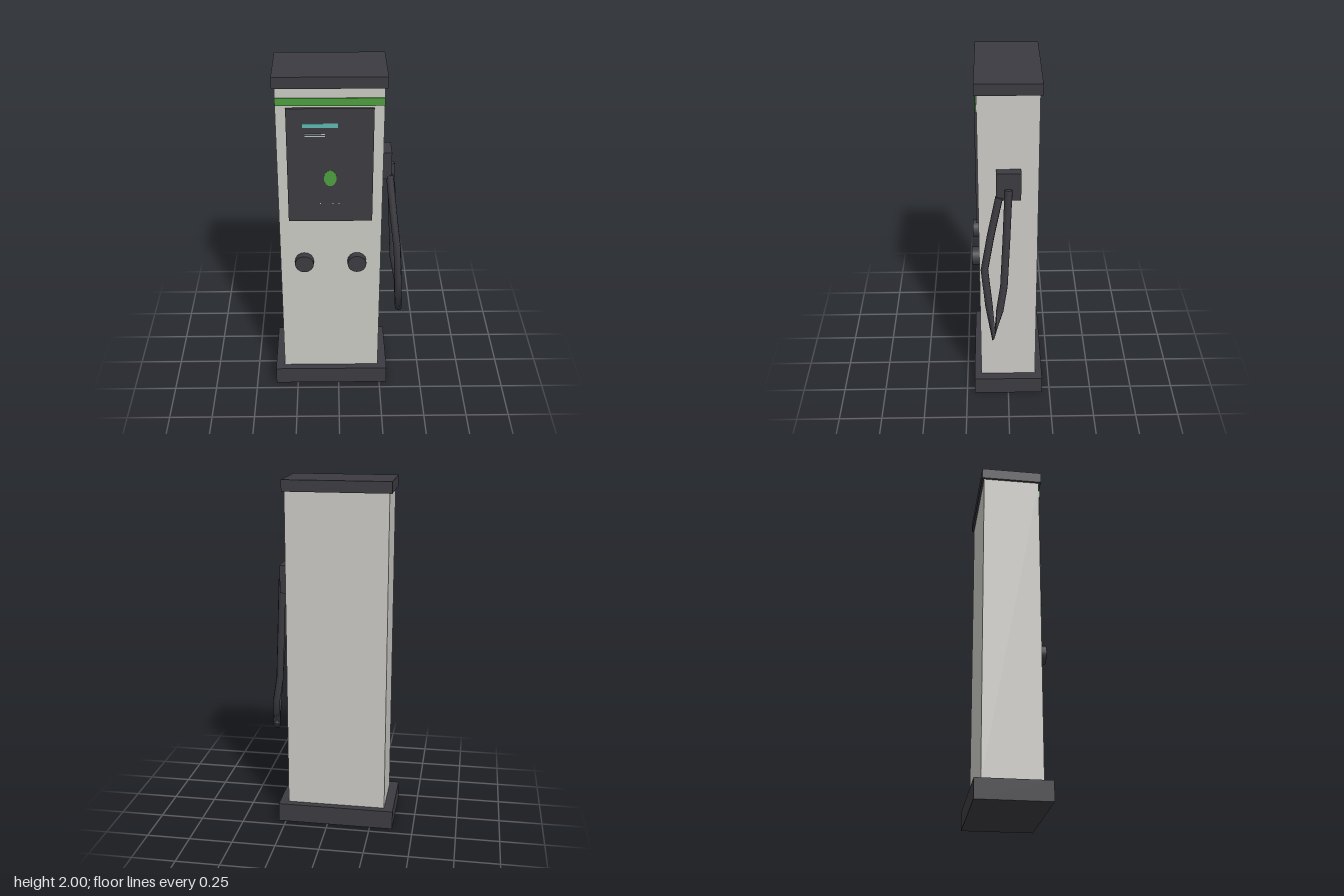
import * as THREE from 'three';

const mat = (name, color) => {
  const m = new THREE.MeshStandardMaterial({ color });
  m.name = name;
  return m;
};

// Curve whose samples fall exactly on the given points
class KinkedPath extends THREE.Curve {
  constructor(points) {
    super();
    this.points = points;
  }
  getPoint(t, target = new THREE.Vector3()) {
    const n = this.points.length - 1;
    const i = Math.min(Math.floor(t * n + 1e-9), n - 1);
    return target.lerpVectors(this.points[i], this.points[i + 1], t * n - i);
  }
  getPointAt(u, target) { return this.getPoint(u, target); }
  getTangentAt(u, target) { return this.getTangent(u, target); }
}

export function createModel() {
  const model = new THREE.Group();
  model.name = 'chargingStation';

  const shell = mat('lightGrey', 0xcac9c4);
  const dark = mat('charcoal', 0x3c3b41);
  const green = mat('green', 0x4d9d3f);
  const teal = mat('teal', 0x5fb8b0);
  const pale = mat('paleGrey', 0xb8c4c6);
  const cx = -0.045; // centre line of the cabinet

  const add = (name, geometry, material, x, y, z) => {
    const mesh = new THREE.Mesh(geometry, material);
    mesh.name = name;
    mesh.position.set(x, y, z);
    model.add(mesh);
    return mesh;
  };
  // Box given by its bounds on each axis
  const box = (name, material, x0, x1, y0, y1, z0, z1) =>
    add(name, new THREE.BoxGeometry(x1 - x0, y1 - y0, z1 - z0), material,
      (x0 + x1) / 2, (y0 + y1) / 2, (z0 + z1) / 2);

  // Cabinet
  box('base', dark, cx - 0.337, cx + 0.337, 0, 0.11, -0.203, 0.203);
  box('cabinet', shell, cx - 0.284, cx + 0.284, 0.11, 1.937, -0.162, 0.162);
  box('cap', dark, cx - 0.298, cx + 0.298, 1.937, 2, -0.175, 0.175);

  // Front panel and its painted details
  box('lightStripe', green, cx - 0.284, cx + 0.284, 1.84, 1.882, 0.162, 0.169);
  box('displayPanel', dark, cx - 0.23, cx + 0.23, 1.153, 1.828, 0.162, 0.175);
  box('displayBar', teal, -0.19, -0.004, 1.72, 1.744, 0.175, 0.177);
  for (const y of [1.671, 1.682]) box('displayLine', pale, -0.178, -0.07, y - 0.002, y + 0.002, 0.175, 0.177);
  for (const x of [-0.1, -0.03, 0.003]) box('displayDot', pale, x - 0.003, x + 0.003, 1.262, 1.268, 0.175, 0.177);
  const button = add('startButton', new THREE.CylinderGeometry(1, 1, 0.003, 20), green, cx, 1.422, 0.176);
  button.rotation.x = Math.PI / 2;
  button.scale.set(0.034, 1, 0.048);

  // Round sockets
  for (const side of [-1, 1]) {
    const socket = add('socket', new THREE.CylinderGeometry(0.053, 0.053, 0.043, 16), dark,
      cx + side * 0.149, 0.882, 0.1825);
    socket.rotation.x = Math.PI / 2;
  }

  // Cable holder and hanging cable on the model's left side
  box('cableHolder', dark, 0.239, 0.292, 1.355, 1.515, -0.067, 0.066);
  const path = new KinkedPath([
    [0.292, 1.42, 0],
    [0.307, 1.11, 0.012],
    [0.322, 0.82, 0.026],
    [0.35, 0.67, 0.05],
    [0.36, 0.488, 0.085],
    [0.35, 0.7, 0.11],
    [0.334, 0.94, 0.133],
    [0.308, 1.15, 0.096],
    [0.284, 1.37, 0.05],
  ].map((p) => new THREE.Vector3(...p)));
  add('cable', new THREE.TubeGeometry(path, 8, 0.021, 8), dark, 0, 0, 0);
  // Plugged cable ends
  for (const i of [0, 8]) {
    const p = path.points[i];
    const end = add('cableEnd', new THREE.CylinderGeometry(0.021, 0.021, 0.004, 8), dark, p.x, p.y, p.z);
    end.quaternion.setFromUnitVectors(new THREE.Vector3(0, 1, 0), path.getTangentAt(i / 8));
  }
  return model;
}
